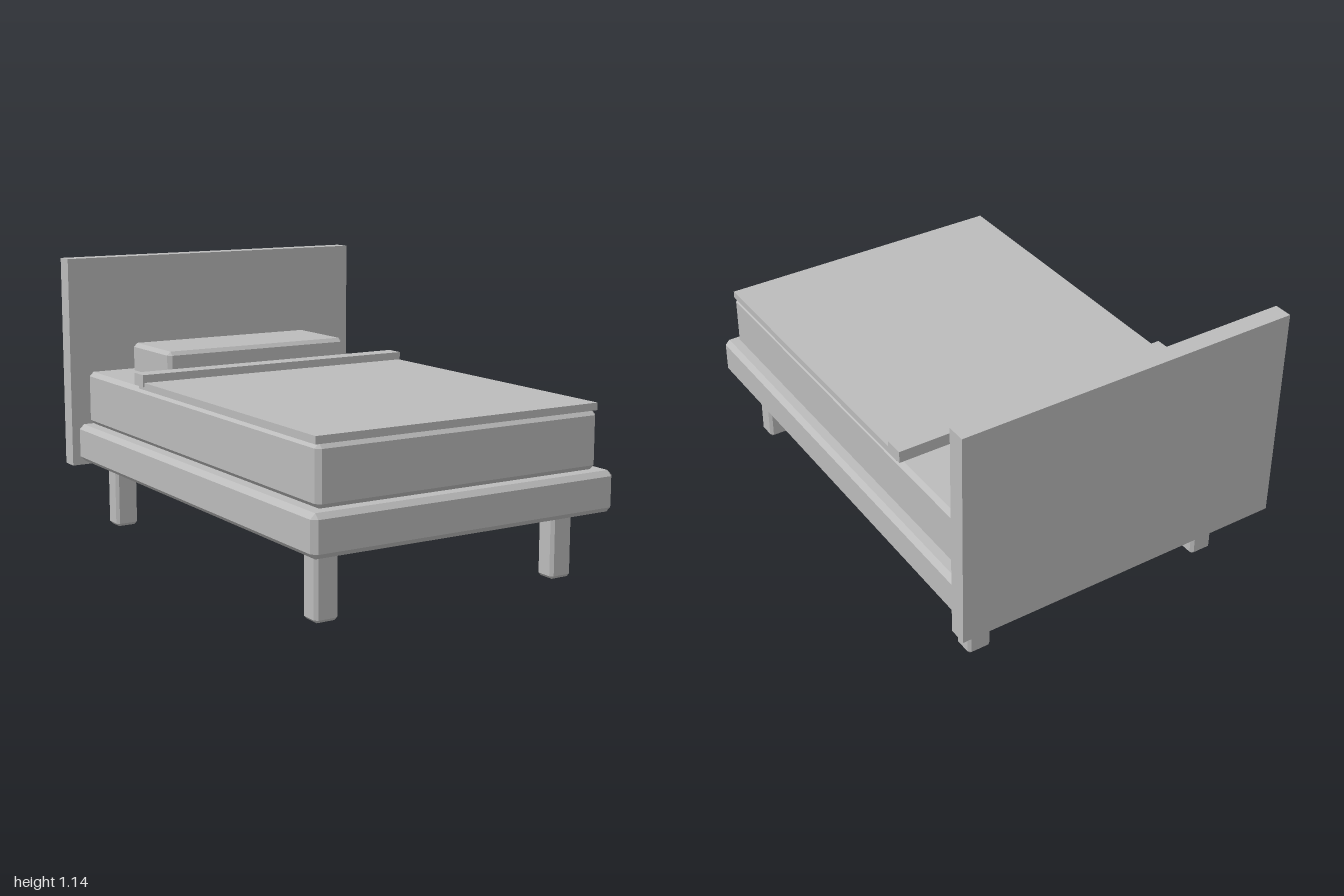
import * as THREE from 'three';
import { ConvexGeometry } from 'three/addons/geometries/ConvexGeometry.js';

// Box with every edge cut at 45 degrees
function chamferBox(w, h, d, c) {
  const points = [];
  for (const x of [-1, 1]) for (const y of [-1, 1]) for (const z of [-1, 1]) {
    const px = x * w / 2, py = y * h / 2, pz = z * d / 2;
    points.push(
      new THREE.Vector3(px, py - y * c, pz - z * c),
      new THREE.Vector3(px - x * c, py, pz - z * c),
      new THREE.Vector3(px - x * c, py - y * c, pz)
    );
  }
  return new ConvexGeometry(points);
}

export function createModel() {
  const bed = new THREE.Group();
  bed.name = 'bed';
  const grey = new THREE.MeshStandardMaterial({ color: 0xbbbbbb });
  grey.name = 'plain grey';

  // Adds a box between the given limits, chamfered when c > 0
  function addBox(name, [x0, x1], [y0, y1], [z0, z1], c = 0) {
    const w = x1 - x0, h = y1 - y0, d = z1 - z0;
    const geometry = c > 0 ? chamferBox(w, h, d, c) : new THREE.BoxGeometry(w, h, d);
    const mesh = new THREE.Mesh(geometry, grey);
    mesh.name = name;
    mesh.position.set((x0 + x1) / 2, (y0 + y1) / 2, (z0 + z1) / 2);
    bed.add(mesh);
  }

  // Base and headboard
  addBox('frame', [-0.665, 0.665], [0.27, 0.43], [-0.98, 1], 0.02);
  addBox('headboard', [-0.7, 0.7], [0.253, 1.145], [-1, -0.925]);

  // Legs
  for (const [side, x] of [['Left', 0.527], ['Right', -0.527]]) {
    for (const [end, z] of [['front', 0.825], ['back', -0.798]]) {
      addBox(`${end}${side}Leg`, [x - 0.049, x + 0.049], [0, 0.29], [z - 0.044, z + 0.044], 0.012);
    }
  }

  // Bedding
  addBox('mattress', [-0.618, 0.618], [0.43, 0.657], [-0.93, 0.95], 0.018);
  addBox('blanket', [-0.62, 0.62], [0.655, 0.684], [-0.42, 0.942]);
  addBox('blanketFold', [-0.625, 0.625], [0.667, 0.716], [-0.45, -0.37]);
  addBox('pillow', [-0.43, 0.43], [0.62, 0.775], [-0.878, -0.527], 0.016);

  return bed;
}
